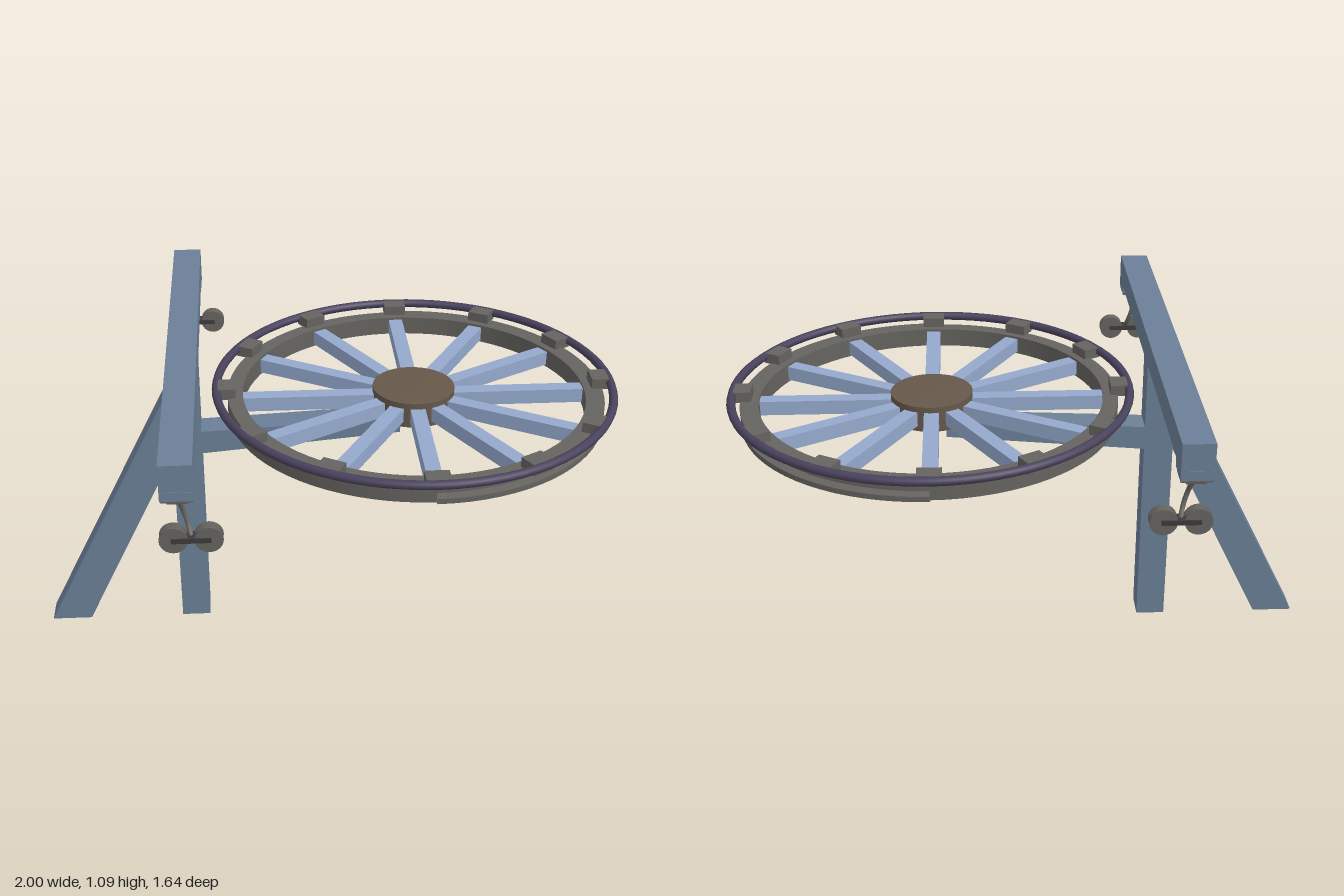
import * as THREE from 'three';
import { toCreasedNormals } from 'three/addons/utils/BufferGeometryUtils.js';

const mat = (color, side = THREE.FrontSide) => new THREE.MeshStandardMaterial({ color, side });
const steel = mat(0x6b7f97);
const spokeBlue = mat(0x94a9cd);
const iron = mat(0x64635f, THREE.DoubleSide);
const brown = mat(0x66584a);
const purple = mat(0x48425c);
const dark = mat(0x3c3a3a);

function add(parent, name, geometry, material, x = 0, y = 0, z = 0) {
  const mesh = new THREE.Mesh(geometry, material);
  mesh.name = name;
  mesh.position.set(x, y, z);
  parent.add(mesh);
  return mesh;
}

function box(parent, name, material, w, h, d, x, y, z) {
  return add(parent, name, new THREE.BoxGeometry(w, h, d), material, x, y, z);
}

// Side outline in x/y, given thickness across z
function slab(parent, name, points, depth, material) {
  const shape = new THREE.Shape(points.map(([x, y]) => new THREE.Vector2(x, y)));
  const geometry = new THREE.ExtrudeGeometry(shape, { depth, bevelEnabled: false });
  return add(parent, name, geometry.translate(0, 0, -depth / 2), material);
}

function lathe(points, segments, start = 0, length = Math.PI * 2) {
  const profile = points.map(([r, y]) => new THREE.Vector2(r, y));
  return toCreasedNormals(new THREE.LatheGeometry(profile, segments, start, length), 0.6);
}

function makeWheel() {
  const wheel = new THREE.Group();
  wheel.name = 'bullWheel';

  // Rim: plain on the post side, grooved on the far side
  const plain = [[0.585, 0.82], [0.637, 0.82], [0.637, 0.885], [0.585, 0.885], [0.585, 0.82]];
  const grooved = [[0.585, 0.82], [0.648, 0.82], [0.648, 0.838], [0.62, 0.843], [0.62, 0.859],
    [0.648, 0.865], [0.648, 0.885], [0.585, 0.885], [0.585, 0.82]];
  add(wheel, 'plainRim', lathe(plain, 40, Math.PI, Math.PI), iron);
  add(wheel, 'groovedRim', lathe(grooved, 40, 0, Math.PI), iron);

  // Cable ring above the rim
  add(wheel, 'cableRing', new THREE.TorusGeometry(0.675, 0.015, 10, 80).rotateX(Math.PI / 2), purple, 0, 0.905, 0);

  // Spokes and the clips that carry the cable ring
  for (let i = 0; i < 12; i++) {
    const sector = new THREE.Group();
    sector.name = 'spokeAndClip';
    sector.rotation.y = (i * Math.PI) / 6;
    box(sector, 'spoke', spokeBlue, 0.5, 0.05, 0.05, 0.345, 0.852, 0);
    box(sector, 'ringClip', iron, 0.065, 0.038, 0.078, 0.643, 0.9, 0);
    wheel.add(sector);
  }

  // Hub with its lower shaft
  add(wheel, 'hub', lathe([[0, 0.803], [0.14, 0.808], [0.14, 0.897], [0, 0.902]], 40), brown);
  add(wheel, 'shaft', new THREE.CylinderGeometry(0.037, 0.037, 0.05, 20), brown, 0, 0.79, 0);
  wheel.position.x = 0.307;
  return wheel;
}

// Pair of guide rollers hung from one end of the crossbeam
function makeRollers(side) {
  const rollers = new THREE.Group();
  rollers.name = 'guideRollers';
  const z = side * 0.772;
  box(rollers, 'beamFoot', steel, 0.1, 0.03, 0.1, -0.475, 0.982, z);
  box(rollers, 'mountPlate', iron, 0.095, 0.012, 0.08, -0.475, 0.962, z);
  box(rollers, 'lowerPlate', brown, 0.06, 0.012, 0.06, -0.475, 0.952, z);

  const hanger = new THREE.CatmullRomCurve3([
    [-0.478, 0.95, 0.772], [-0.472, 0.925, 0.752], [-0.462, 0.885, 0.738],
    [-0.45, 0.845, 0.745], [-0.441, 0.812, 0.77],
  ].map(([x, y, c]) => new THREE.Vector3(x, y, side * c)));
  add(rollers, 'hanger', new THREE.TubeGeometry(hanger, 20, 0.008, 8), iron);
  box(rollers, 'rollerLink', dark, 0.12, 0.016, 0.045, -0.441, 0.811, z);

  const profile = [[0, -0.018], [0.043, -0.018], [0.043, -0.011], [0.031, -0.006],
    [0.031, 0.006], [0.043, 0.011], [0.043, 0.018], [0, 0.018]];
  for (const x of [-0.494, -0.388]) {
    add(rollers, 'roller', lathe(profile, 24).rotateX(Math.PI / 2), iron, x, 0.811, z);
  }
  return rollers;
}

export function createModel() {
  const model = new THREE.Group();
  model.name = 'cableWheelStation';

  // Post, crossbeam, rear brace and wheel arm
  box(model, 'post', steel, 0.1, 1.0, 0.1, -0.475, 0.5, 0);
  box(model, 'crossbeam', steel, 0.1, 0.09, 1.64, -0.475, 1.04, 0);
  slab(model, 'rearBrace', [[-1, 0], [-0.86, 0], [-0.48, 0.77], [-0.48, 0.995], [-0.495, 0.995]], 0.098, steel);
  slab(model, 'wheelArm', [[-0.44, 0.68], [0.26, 0.743], [0.26, 0.798], [-0.44, 0.765]], 0.098, steel);
  // Bearing block joining the arm to the shaft
  box(model, 'bearing', brown, 0.06, 0.03, 0.06, 0.285, 0.782, 0);

  model.add(makeWheel(), makeRollers(1), makeRollers(-1));
  return model;
}
